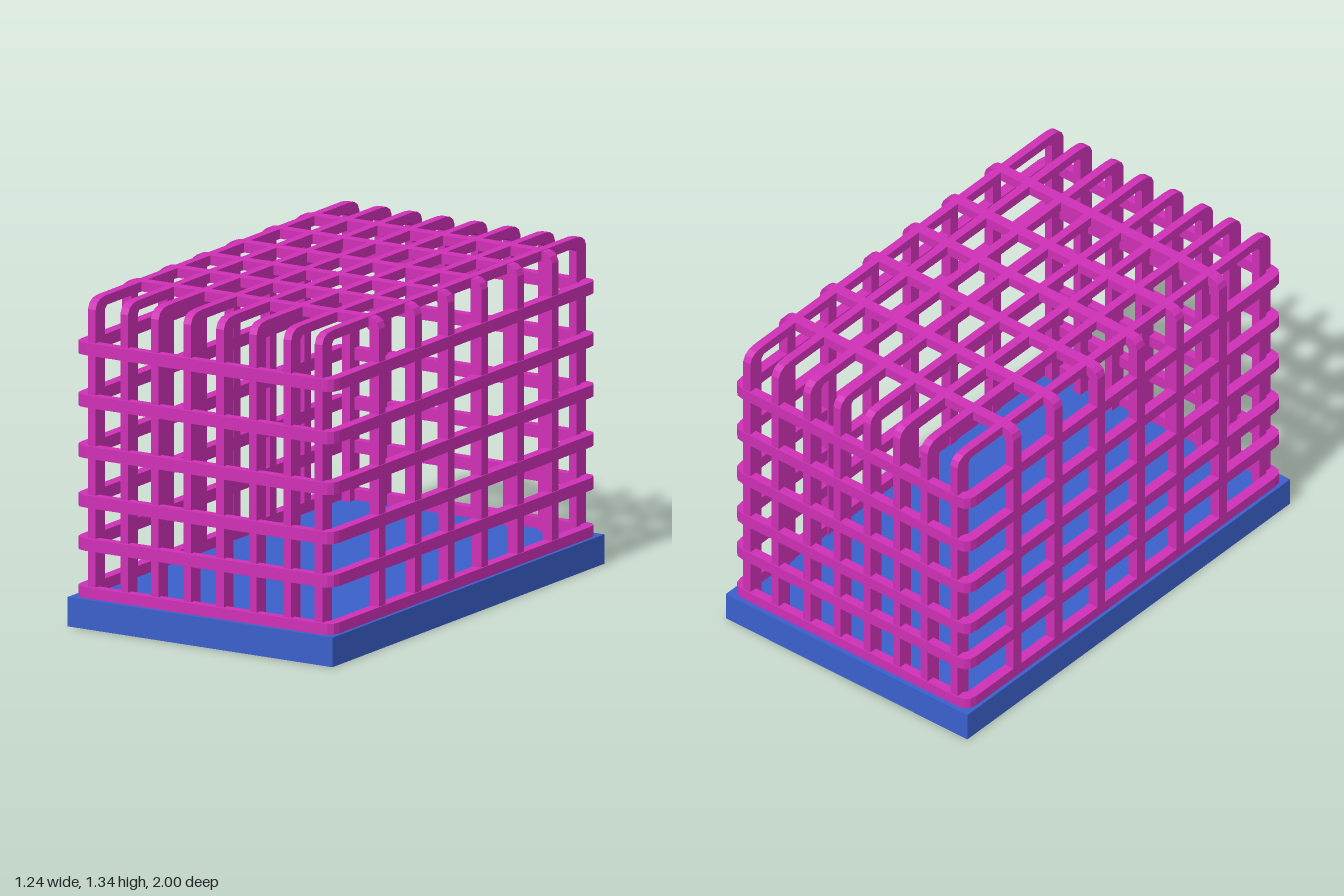
import * as THREE from 'three';

const pink = new THREE.MeshStandardMaterial({ color: 0xcf30b6, flatShading: true });
const blue = new THREE.MeshStandardMaterial({ color: 0x3a60cc, flatShading: true });

// Open arch outline: outer edge up and over, inner edge back; ru/rv are the corner sizes
function archShape(u0, u1, bottom, top, tu, tv, ru, rv) {
  const s = new THREE.Shape();
  s.moveTo(u1, bottom);
  s.lineTo(u1, top - rv);
  s.quadraticCurveTo(u1 - ru * 0.1, top, u1 - ru, top);
  s.lineTo(u0 + ru, top);
  s.quadraticCurveTo(u0 + ru * 0.1, top, u0, top - rv);
  s.lineTo(u0, bottom);
  s.lineTo(u0 + tu, bottom);
  s.lineTo(u0 + tu, top - tv - 0.015);
  s.lineTo(u0 + tu + 0.015, top - tv);
  s.lineTo(u1 - tu - 0.015, top - tv);
  s.lineTo(u1 - tu, top - tv - 0.015);
  s.lineTo(u1 - tu, bottom);
  s.closePath();
  return s;
}

// Rectangle with rounded corners, drawn into a Shape or a Path
function roundedRect(p, hx, hz, r) {
  p.moveTo(hx, -hz + r);
  p.lineTo(hx, hz - r);
  p.quadraticCurveTo(hx, hz, hx - r, hz);
  p.lineTo(-hx + r, hz);
  p.quadraticCurveTo(-hx, hz, -hx, hz - r);
  p.lineTo(-hx, -hz + r);
  p.quadraticCurveTo(-hx, -hz, -hx + r, -hz);
  p.lineTo(hx - r, -hz);
  p.quadraticCurveTo(hx, -hz, hx, -hz + r);
  return p;
}

// Extrude a flat outline, centred on its own plane
function slab(shape, depth) {
  const g = new THREE.ExtrudeGeometry(shape, { depth, bevelEnabled: false, curveSegments: 3 });
  return g.translate(0, 0, -depth / 2);
}

function add(parent, name, geometry, material, x = 0, y = 0, z = 0) {
  const mesh = new THREE.Mesh(geometry, material);
  mesh.name = name;
  mesh.position.set(x, y, z);
  parent.add(mesh);
}

export function createModel() {
  const model = new THREE.Group();
  model.name = 'crate';

  // Solid floor slab
  add(model, 'base', new THREE.BoxGeometry(1.24, 0.12, 2), blue, 0, 0.06, 0);

  const cage = new THREE.Group();
  cage.name = 'cage';
  model.add(cage);

  // Arches running side to side
  const cross = slab(archShape(-0.605, 0.6, 0.11, 1.34, 0.045, 0.04, 0.06, 0.045), 0.048);
  for (const z of [0.602, 0.337, 0.094, -0.152, -0.417, -0.671]) {
    add(cage, 'crossArch', cross, pink, 0, 0, z);
  }

  // Arches running front to back
  const long = slab(archShape(-0.965, 0.975, 0.11, 1.34, 0.07, 0.04, 0.075, 0.045), 0.036).rotateY(Math.PI / 2);
  for (const x of [-0.53, -0.378, -0.235, -0.083, 0.071, 0.225, 0.387, 0.533]) {
    add(cage, 'longArch', long, pink, x, 0, 0);
  }

  // Level rings around the cage
  const outline = roundedRect(new THREE.Shape(), 0.605, 0.98, 0.055);
  outline.holes.push(roundedRect(new THREE.Path(), 0.56, 0.94, 0.025));
  const ring = slab(outline, 0.05).rotateX(-Math.PI / 2);
  for (const y of [0.14, 0.338, 0.514, 0.715, 0.922, 1.135]) {
    add(cage, 'ring', ring, pink, 0, y, 0);
  }

  return model;
}
